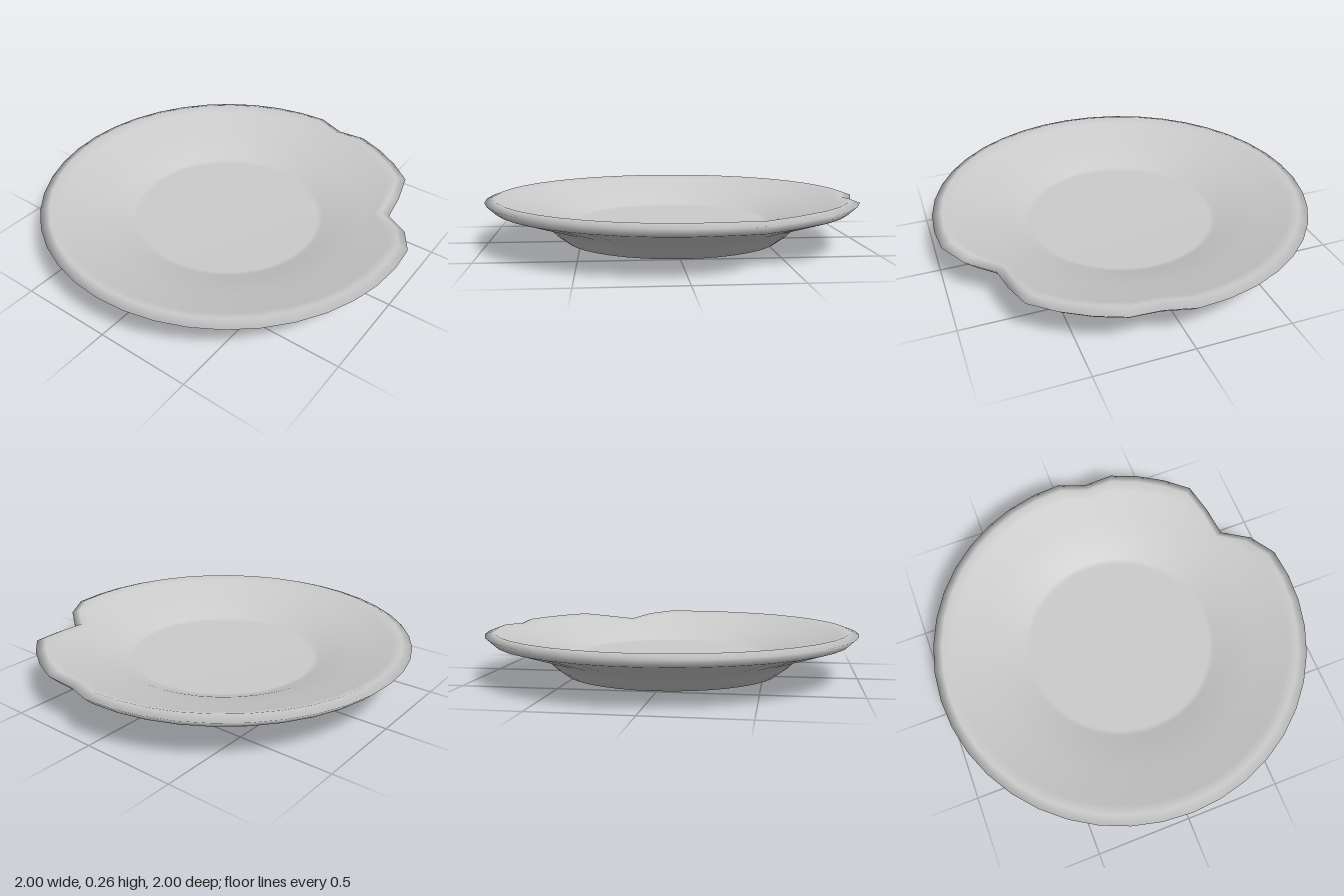
import * as THREE from 'three';
import { mergeVertices } from 'three/addons/utils/BufferGeometryUtils.js';

const SEGMENTS = 40;

// Rim scale at the chipped segments (segment index counted from +z towards +x)
const CHIPS = { 19: 0.962, 14: 0.927, 13: 0.865, 12: 0.952 };

// Cross-section: underside from the centre out, over the lip, then back in to the floor
const PROFILE = [
  [0, 0.004], [0.38, 0.004], [0.58, 0.024], [0.635, 0.065], [0.69, 0.118],
  [0.955, 0.203], [1, 0.245], [0.95, 0.263], [0.9, 0.245],
  [0.73, 0.2], [0.6, 0.162], [0.52, 0.127], [0.49, 0.123], [0, 0.123],
].map(([r, y]) => new THREE.Vector2(r, y));

// Pull the rim inwards and down wherever it is chipped
function chipRim(geometry) {
  const p = geometry.attributes.position;
  for (let i = 0; i < p.count; i++) {
    const x = p.getX(i), z = p.getZ(i);
    if (Math.hypot(x, z) < 0.85) continue;
    const turn = Math.atan2(x, z) / (2 * Math.PI) + 1;
    const scale = CHIPS[Math.round(turn * SEGMENTS) % SEGMENTS] ?? 1;
    p.setXYZ(i, x * scale, p.getY(i) - 0.25 * (1 - scale), z * scale);
  }
}

export function createModel() {
  const group = new THREE.Group();
  group.name = 'chippedPlate';

  let geometry = new THREE.LatheGeometry(PROFILE, SEGMENTS);
  chipRim(geometry);

  // Weld the seam so the shading stays smooth all round
  geometry.deleteAttribute('uv');
  geometry.deleteAttribute('normal');
  geometry = mergeVertices(geometry, 1e-4);
  geometry.computeVertexNormals();

  const plate = new THREE.Mesh(geometry, new THREE.MeshStandardMaterial({ color: 0xcccccc }));
  plate.name = 'plate';
  group.add(plate);
  return group;
}
